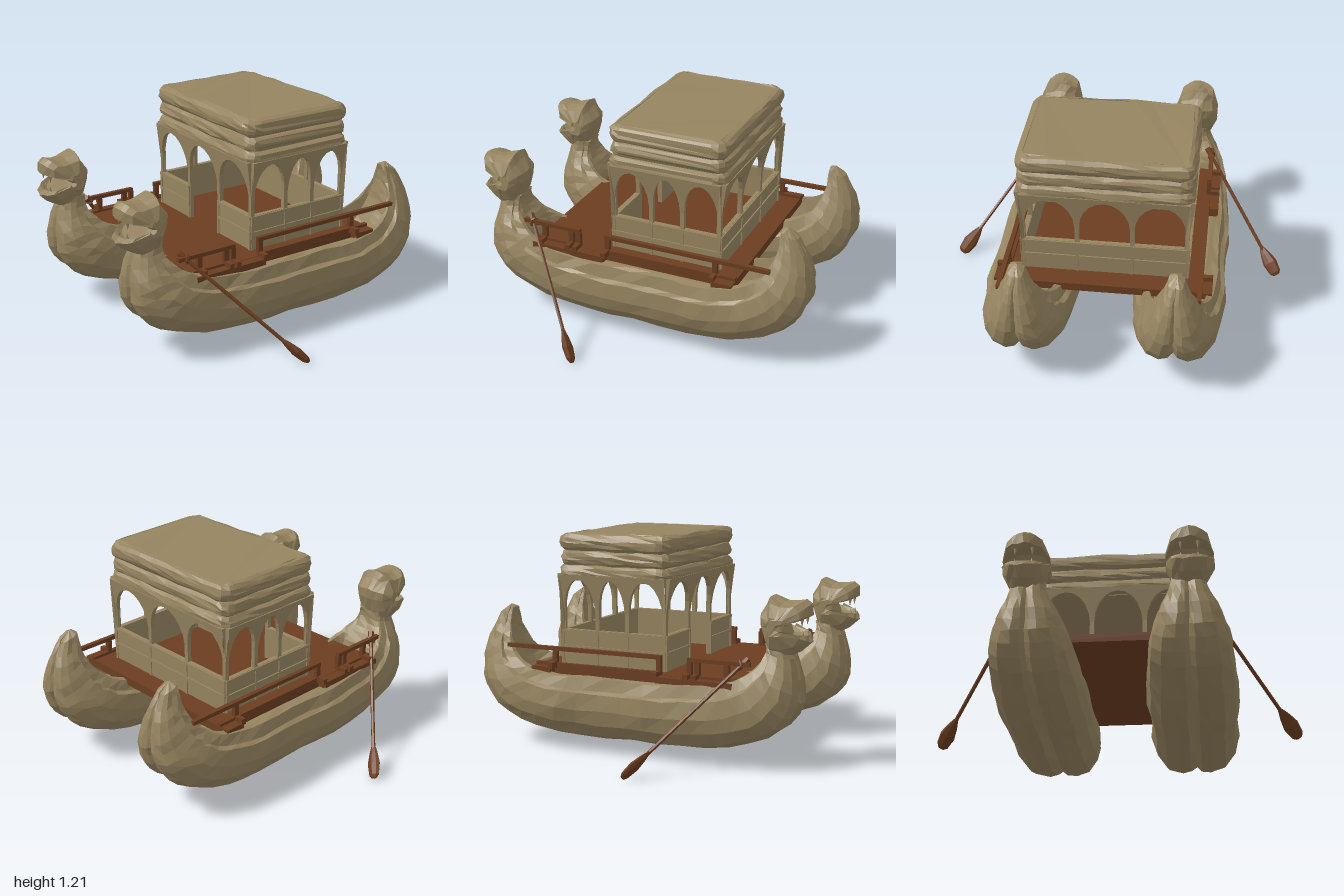
import * as THREE from 'three';

const wood = new THREE.MeshStandardMaterial({ color: 0x968460, flatShading: true });
wood.name = 'carvedWood';
const brown = new THREE.MeshStandardMaterial({ color: 0x6b3d20, flatShading: true });
brown.name = 'brownPlank';

function add(parent, name, geo, mat, x = 0, y = 0, z = 0) {
  const m = new THREE.Mesh(geo, mat);
  m.name = name;
  m.position.set(x, y, z);
  parent.add(m);
  return m;
}
const box = (parent, name, mat, x0, x1, y0, y1, z0, z1) =>
  add(parent, name, new THREE.BoxGeometry(x1 - x0, y1 - y0, Math.abs(z1 - z0)), mat,
    (x0 + x1) / 2, (y0 + y1) / 2, (z0 + z1) / 2);

// Hand-carved unevenness: equal positions always move equally, so seams stay shut
function carve(geo, amt) {
  const p = geo.attributes.position;
  const rnd = (a, b, c, k) => {
    const s = Math.sin(Math.round(a * 1000) * 12.9 + Math.round(b * 1000) * 78.2 + Math.round(c * 1000) * 37.7 + k) * 43758.5;
    return (s - Math.floor(s) - 0.5) * 2 * amt;
  };
  for (let i = 0; i < p.count; i++) {
    const x = p.getX(i), y = p.getY(i), z = p.getZ(i);
    p.setXYZ(i, x + rnd(x, y, z, 1), y + rnd(x, y, z, 2), z + rnd(x, y, z, 3));
  }
  geo.computeVertexNormals();
  return geo;
}

// Hull: sections swept from neck to stern; each row is inner x,y, outer x,y, half width, hollow depth
function hullGeometry() {
  const rows = [
    [-0.75, 0.68, -0.87, 0.68, 0.09, 0], [-0.755, 0.62, -0.9, 0.6, 0.1, 0],
    [-0.72, 0.56, -0.93, 0.46, 0.15, 0], [-0.66, 0.51, -0.92, 0.33, 0.19, 0.06],
    [-0.58, 0.475, -0.82, 0.2, 0.22, 0.25], [-0.45, 0.45, -0.6, 0.115, 0.24, 0.35],
    [-0.25, 0.44, -0.3, 0.08, 0.25, 0.35], [0, 0.44, 0, 0.08, 0.25, 0.35],
    [0.25, 0.44, 0.35, 0.078, 0.25, 0.35], [0.45, 0.44, 0.62, 0.11, 0.25, 0.35],
    [0.6, 0.46, 0.82, 0.18, 0.235, 0.35], [0.7, 0.5, 0.94, 0.29, 0.2, 0.22],
    [0.76, 0.55, 0.99, 0.41, 0.155, 0.1], [0.8, 0.63, 0.985, 0.53, 0.11, 0.02],
    [0.81, 0.7, 0.95, 0.65, 0.07, 0], [0.81, 0.77, 0.9, 0.735, 0.04, 0],
  ];
  const curve = f => new THREE.CatmullRomCurve3(rows.map(f));
  const inner = curve(r => new THREE.Vector3(r[0], r[1], 0));
  const outer = curve(r => new THREE.Vector3(r[2], r[3], 0));
  const size = curve(r => new THREE.Vector3(r[4], r[5], 0));
  // half section: across, depth (null depth = floor of the hollow)
  const half = [[0, null], [0.55, null], [0.68, 0], [0.8, 0.02], [0.87, 0.2], [0.97, 0.24], [1, 0.5],
    [0.92, 0.72], [0.68, 0.92], [0.36, 1], [0.13, 0.97], [0, 0.88]];
  const ring = [...half, ...half.slice(1, -1).reverse().map(([u, s]) => [-u, s])];
  const n = ring.length, steps = 32, pos = [], idx = [];
  for (let i = 0; i <= steps; i++) {
    const a = inner.getPoint(i / steps), b = outer.getPoint(i / steps), k = size.getPoint(i / steps);
    for (const [u, s] of ring) {
      const d = s === null ? Math.max(0, k.y) : s;
      pos.push(a.x + (b.x - a.x) * d, a.y + (b.y - a.y) * d, u * k.x);
    }
  }
  for (let i = 0; i < steps; i++) for (let j = 0; j < n; j++) {
    const a = i * n + j, c = i * n + (j + 1) % n;
    idx.push(a, c, a + n, a + n, c, c + n);
  }
  pos.push(-0.81, 0.68, 0, 0.84, 0.785, 0);
  const last = steps * n, e = last + n;
  for (let j = 0; j < n; j++) {
    const k = (j + 1) % n;
    idx.push(e, k, j, e + 1, last + j, last + k);
  }
  const g = new THREE.BufferGeometry();
  g.setAttribute('position', new THREE.Float32BufferAttribute(pos, 3));
  g.setIndex(idx);
  return carve(g, 0.005);
}

// Head: open-jawed side profile, drawn in towards the cheeks
function headGeometry() {
  const pts = [[-0.87, 0.61], [-0.94, 0.645], [-0.99, 0.7], [-0.975, 0.73], [-0.93, 0.705], [-0.87, 0.715],
    [-0.845, 0.77], [-0.88, 0.815], [-0.95, 0.815], [-0.985, 0.83], [-0.985, 0.885], [-0.95, 0.91], [-0.9, 0.9],
    [-0.85, 0.905], [-0.775, 0.93], [-0.755, 0.89], [-0.715, 0.83], [-0.715, 0.77], [-0.75, 0.68], [-0.78, 0.62]];
  const w = 0.125;
  const g = new THREE.ExtrudeGeometry(new THREE.Shape(pts.map(p => new THREE.Vector2(...p))),
    { depth: 2 * w, steps: 8, bevelEnabled: false });
  g.translate(0, 0, -w);
  const p = g.attributes.position;
  for (let i = 0; i < p.count; i++) {
    const t = p.getZ(i) / w, k = 0.3 + 0.7 * Math.sqrt(Math.max(0, 1 - t * t));
    p.setXY(i, -0.81 + (p.getX(i) + 0.81) * k, 0.775 + (p.getY(i) - 0.775) * k);
  }
  return carve(g, 0.005);
}

// Roof roll: rounded rectangle slab with a bulging rim
function rollGeometry(hx, hz, h) {
  const b = h * 0.42, r = 0.04, x = hx - b, z = hz - b, s = new THREE.Shape();
  s.moveTo(-x + r, -z).lineTo(x - r, -z).quadraticCurveTo(x, -z, x, -z + r);
  for (let i = 1; i < 8; i++) s.lineTo(x, -z + r + (2 * z - 2 * r) * i / 8);
  s.lineTo(x, z - r).quadraticCurveTo(x, z, x - r, z);
  for (let i = 1; i < 6; i++) s.lineTo(x - r - (2 * x - 2 * r) * i / 6, z);
  s.lineTo(-x + r, z).quadraticCurveTo(-x, z, -x, z - r);
  for (let i = 1; i < 8; i++) s.lineTo(-x, z - r - (2 * z - 2 * r) * i / 8);
  s.lineTo(-x, -z + r).quadraticCurveTo(-x, -z, -x + r, -z);
  const g = new THREE.ExtrudeGeometry(s, { depth: h - 2 * b, bevelEnabled: true, bevelThickness: b, bevelSize: b, bevelSegments: 3, curveSegments: 3 });
  g.rotateX(-Math.PI / 2).translate(0, b, 0);
  return carve(g, 0.005);
}

// Arcade wall with low parapet; the crown flares outwards; door opens the middle arch
function arcadeGeometry(hw, openings, door) {
  const s = new THREE.Shape();
  s.moveTo(-hw, 0.44).lineTo(hw, 0.44).lineTo(hw, 0.78).lineTo(hw, 0.98).lineTo(-hw, 0.98).lineTo(-hw, 0.78);
  openings.forEach(([a, b], i) => {
    const y0 = door && i === 1 ? 0.465 : 0.67, h = new THREE.Path();
    h.moveTo(a, y0).lineTo(a, 0.77);
    for (let k = 1; k < 10; k++) {
      const t = Math.PI * (1 - k / 10);
      h.lineTo((a + b) / 2 + (b - a) / 2 * Math.cos(t), 0.77 + 0.185 * Math.sin(t));
    }
    h.lineTo(b, 0.77).lineTo(b, y0);
    s.holes.push(h);
  });
  const g = new THREE.ExtrudeGeometry(s, { depth: 0.025, bevelEnabled: false });
  const p = g.attributes.position;
  for (let i = 0; i < p.count; i++) p.setZ(i, p.getZ(i) + Math.max(0, p.getY(i) - 0.78) * 0.13);
  g.computeVertexNormals();
  return g;
}

function buildCabin() {
  const cabin = new THREE.Group();
  cabin.name = 'cabin';
  const sideArches = [[-0.305, -0.1], [-0.075, 0.085], [0.11, 0.305]];
  const endArches = [[-0.445, -0.165], [-0.14, 0.14], [0.165, 0.445]];
  for (let k = 0; k < 4; k++) {
    const end = k % 2 === 1, hw = end ? 0.465 : 0.325, door = k === 3;
    const wall = new THREE.Group();
    wall.name = end ? 'endArcade' : 'sideArcade';
    wall.rotation.y = k * Math.PI / 2;
    cabin.add(wall);
    let arches = end ? endArches : sideArches;
    if (k === 2) arches = arches.map(([a, b]) => [-b, -a]).reverse();
    const z = end ? 0.3 : 0.44;
    add(wall, 'arcadeWall', arcadeGeometry(hw, arches, door), wood, 0, 0, z);
    // parapet rails and panel battens
    const spans = door ? [[-hw, -0.15], [0.15, hw]] : [[-hw, hw]];
    for (const [a, b] of spans) for (const y of [0.46, 0.57, 0.66])
      box(wall, 'parapetRail', wood, a, b, y - 0.008, y + 0.008, z + 0.02, z + 0.033);
    for (const x of [-hw + 0.01, arches[1][0] - 0.0125, arches[1][1] + 0.0125, hw - 0.01])
      box(wall, 'batten', wood, x - 0.008, x + 0.008, 0.45, 0.67, z + 0.02, z + 0.031);
  }
  [[0.945, 0.09], [1.03, 0.085], [1.11, 0.1]].forEach(([y, h], i) =>
    add(cabin, 'roofRoll', rollGeometry(i === 1 ? 0.342 : 0.347, i === 1 ? 0.48 : 0.485, h), wood, 0, y, 0));
  cabin.position.x = 0.155;
  return cabin;
}

function buildOar(s) {
  const oar = new THREE.Group();
  oar.name = 'oar';
  const a = new THREE.Vector3(-0.66, 0.585, 0.515 * s), b = new THREE.Vector3(-0.168, 0.015, 0.99 * s);
  const len = a.distanceTo(b);
  add(oar, 'shaft', new THREE.CylinderGeometry(0.011, 0.011, len - 0.1, 6), brown, 0, (len - 0.1) / 2, 0);
  add(oar, 'grip', new THREE.CylinderGeometry(0.018, 0.018, 0.04, 6), brown, 0, 0.01, 0);
  const profile = [[0, 0], [0.012, 0], [0.03, 0.05], [0.044, 0.11], [0.035, 0.175], [0.018, 0.195], [0, 0.195]];
  const blade = add(oar, 'blade', new THREE.LatheGeometry(profile.map(p => new THREE.Vector2(...p)), 8), brown, 0, len - 0.195, 0);
  blade.scale.z = 0.5;
  oar.position.copy(a);
  oar.quaternion.setFromUnitVectors(new THREE.Vector3(0, 1, 0), b.sub(a).normalize());
  return oar;
}

export function createModel() {
  const model = new THREE.Group();
  model.name = 'twinHullBoat';
  const hull = hullGeometry(), head = headGeometry();
  box(model, 'deck', brown, -0.61, 0.6, 0.425, 0.472, -0.55, 0.55);
  for (const s of [1, -1]) {
    add(model, 'hull', hull, wood, 0, 0, 0.42 * s);
    add(model, 'head', head, wood, 0, 0, 0.43 * s);
    for (const t of [-0.045, 0.045]) {
      add(model, 'upperTooth', new THREE.ConeGeometry(0.013, 0.05, 5), wood, -0.945, 0.798, 0.43 * s + t).rotation.z = Math.PI;
      add(model, 'lowerTooth', new THREE.ConeGeometry(0.012, 0.045, 5), wood, -0.95, 0.735, 0.43 * s + t);
    }
    // deck wings beside the cabin
    box(model, 'deckWing', brown, -0.61, -0.17, 0.43, 0.47, 0.54 * s, 0.605 * s);
    box(model, 'deckWing', brown, 0.48, 0.6, 0.43, 0.47, 0.54 * s, 0.605 * s);
    // railings
    const bar = (n, x0, x1, y0, y1) => box(model, n, brown, x0, x1, y0, y1, 0.527 * s, 0.552 * s);
    bar('sternRail', -0.18, 0.79, 0.556, 0.578);
    bar('lowerRail', -0.18, 0.6, 0.472, 0.488);
    bar('bowRail', -0.69, -0.335, 0.556, 0.578);
    bar('lowerRail', -0.61, -0.335, 0.468, 0.484);
    for (const x of [-0.56, -0.39, -0.345, -0.165, 0.48]) {
      bar('railPost', x - 0.014, x + 0.014, 0.46, 0.56);
      box(model, 'railBracket', brown, x - 0.014, x + 0.014, 0.46, 0.495, 0.53 * s, 0.605 * s);
    }
    const lock = add(model, 'oarlock', new THREE.TorusGeometry(0.022, 0.008, 5, 8), brown, -0.63, 0.56, 0.54 * s);
    lock.rotation.y = s * Math.PI / 4;
    model.add(buildOar(s));
  }
  model.add(buildCabin());
  return model;
}
